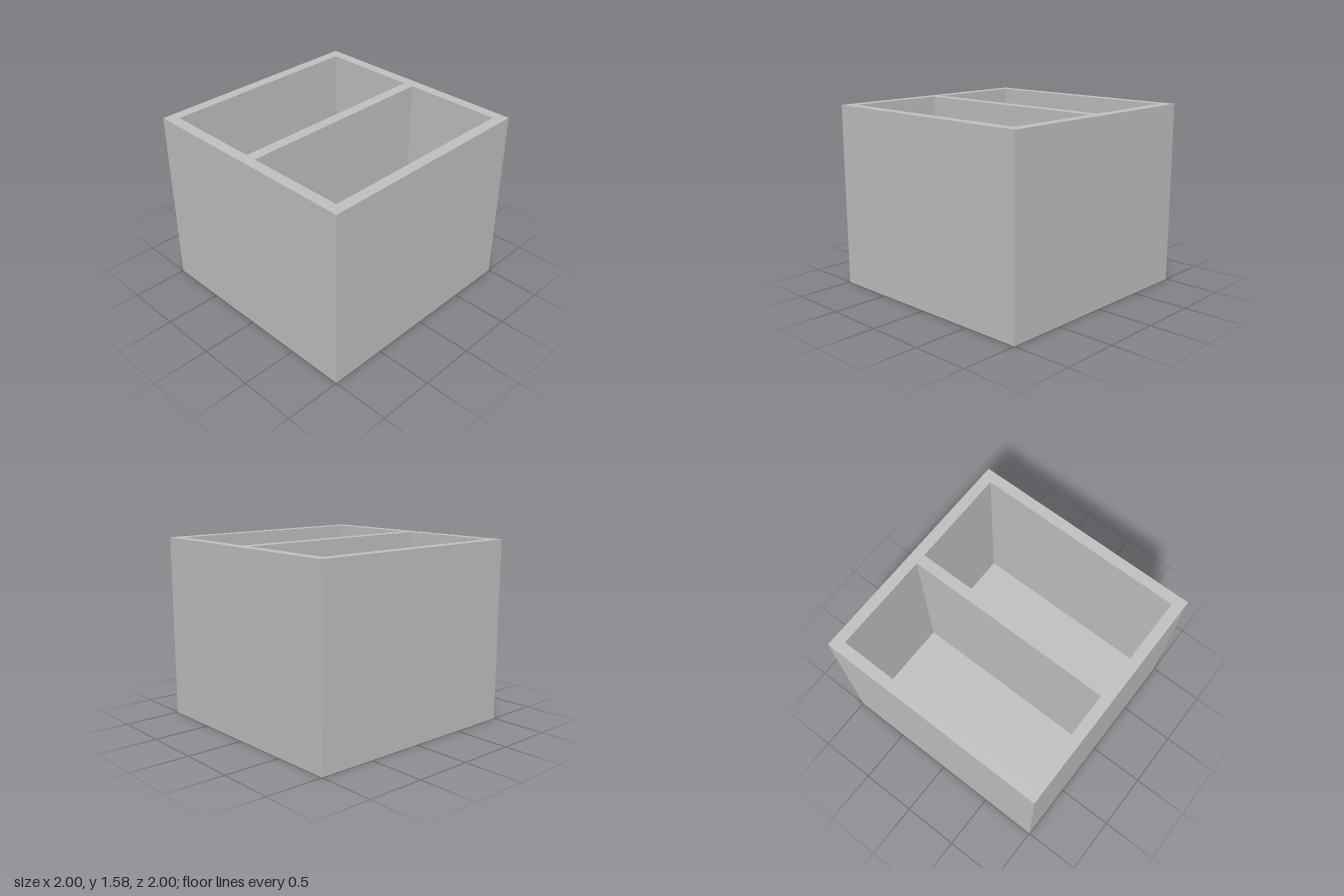
import * as THREE from 'three';

const SIZE = 2, HEIGHT = 1.58, WALL = 0.093;
const INNER_W = SIZE - 2 * WALL;         // compartment length along x
const INNER_D = (SIZE - 3 * WALL) / 2;   // compartment width along z
const OFFSET = (INNER_D + WALL) / 2;     // compartment centre from the divider

// Box without its top face, optionally turned inside out
function openBox(w, h, d, inward) {
  const geo = new THREE.BoxGeometry(w, h, d);
  const index = Array.from(geo.index.array);
  index.splice(12, 6); // the +y face
  if (inward) {
    index.reverse();
    const n = geo.attributes.normal;
    for (let i = 0; i < n.count; i++) n.setXYZ(i, -n.getX(i), -n.getY(i), -n.getZ(i));
  }
  geo.setIndex(index);
  geo.clearGroups();
  return geo;
}

// Traces a centred rectangle onto a shape or path
function rect(path, w, h, cy = 0) {
  path.moveTo(-w / 2, cy - h / 2);
  path.lineTo(w / 2, cy - h / 2);
  path.lineTo(w / 2, cy + h / 2);
  path.lineTo(-w / 2, cy + h / 2);
  path.closePath();
  return path;
}

export function createModel() {
  const model = new THREE.Group();
  model.name = 'dividedBox';
  const grey = new THREE.MeshStandardMaterial({ color: 0xc0c0c0 });
  grey.name = 'grey';

  const add = (name, geo, y, z = 0) => {
    const mesh = new THREE.Mesh(geo, grey);
    mesh.name = name;
    mesh.position.set(0, y, z);
    model.add(mesh);
  };

  // Outer walls and underside
  add('outerShell', openBox(SIZE, HEIGHT, SIZE, false), HEIGHT / 2);

  // Flat rim and divider top around the two openings
  const rim = rect(new THREE.Shape(), SIZE, SIZE);
  for (const s of [-1, 1]) rim.holes.push(rect(new THREE.Path(), INNER_W, INNER_D, s * OFFSET));
  add('rim', new THREE.ShapeGeometry(rim).rotateX(-Math.PI / 2), HEIGHT);

  // Inner walls and floor of each compartment
  const depth = HEIGHT - WALL;
  for (const [name, s] of [['frontCompartment', 1], ['backCompartment', -1]]) {
    add(name, openBox(INNER_W, depth, INNER_D, true), WALL + depth / 2, s * OFFSET);
  }
  return model;
}
